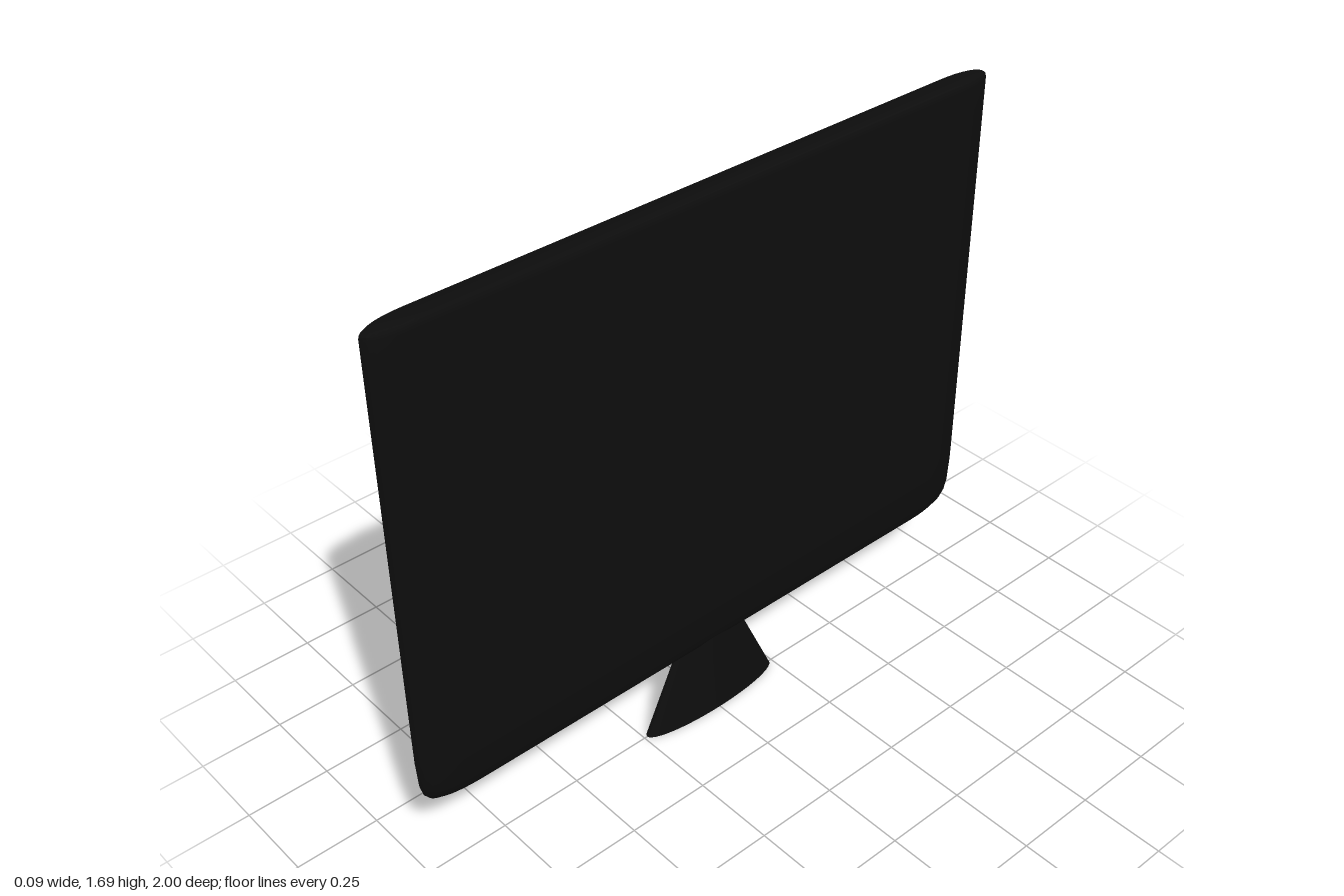
import * as THREE from 'three';
import { toCreasedNormals } from 'three/addons/utils/BufferGeometryUtils.js';

const black = new THREE.MeshStandardMaterial({ color: 0x0d0d0d });
const violet = new THREE.MeshStandardMaterial({ color: 0x1a0a3c });

// Rounded slab lofted upwards from rows of [y, half width in z, half thickness in x]
function slabGeometry(rows, endLength, steps) {
  const pos = [], index = [];
  const ringSize = 2 * (steps + 1);
  for (const [y, w, t] of rows) {
    for (let end = 0; end < 2; end++) {
      const sign = end ? -1 : 1;
      for (let i = 0; i <= steps; i++) {
        const a = (i / steps) * Math.PI;
        pos.push(sign * t * Math.cos(a), y, sign * (w - endLength + endLength * Math.sin(a)));
      }
    }
  }
  for (let r = 0; r < rows.length - 1; r++) {
    for (let i = 0; i < ringSize; i++) {
      const a = r * ringSize + i, b = r * ringSize + (i + 1) % ringSize;
      const c = a + ringSize, d = b + ringSize;
      index.push(a, c, b, b, c, d);
    }
  }
  // flat caps
  const top = (rows.length - 1) * ringSize;
  for (let i = 1; i < ringSize - 1; i++) {
    index.push(0, i, i + 1);
    index.push(top, top + i + 1, top + i);
  }
  const g = new THREE.BufferGeometry();
  g.setAttribute('position', new THREE.Float32BufferAttribute(pos, 3));
  // ring runs from +x through +z to -x, so flip every triangle to face outwards
  for (let i = 0; i < index.length; i += 3) {
    [index[i + 1], index[i + 2]] = [index[i + 2], index[i + 1]];
  }
  g.setIndex(index);
  return g;
}

// Makes sure a closed shape faces outwards, whichever way it was wound
function faceOutwards(g) {
  const p = g.attributes.position, idx = g.index.array;
  const [a, b, c] = [0, 1, 2].map(() => new THREE.Vector3());
  let volume = 0;
  for (let i = 0; i < idx.length; i += 3) {
    a.fromBufferAttribute(p, idx[i]);
    b.fromBufferAttribute(p, idx[i + 1]);
    c.fromBufferAttribute(p, idx[i + 2]);
    volume += a.dot(b.cross(c));
  }
  if (volume < 0) idx.reverse();
  return g;
}

function addMesh(group, name, geometry, material) {
  const mesh = new THREE.Mesh(geometry, material);
  mesh.name = name;
  group.add(mesh);
  return mesh;
}

export function createModel() {
  const group = new THREE.Group();
  group.name = 'monitor';

  // housing: rounded ends, tapered lower edge, tight upper edge
  const rows = [
    [0.245, 0.9, 0.018], [0.25, 0.94, 0.022], [0.263, 0.97, 0.026], [0.285, 0.987, 0.03],
    [0.32, 0.996, 0.033], [0.4, 1, 0.036], [0.45, 1, 0.037], [1.6, 1, 0.037],
    [1.67, 1, 0.037], [1.68, 0.997, 0.036], [1.687, 0.985, 0.033], [1.69, 0.96, 0.028],
  ];
  const slab = faceOutwards(slabGeometry(rows, 0.12, 14));
  addMesh(group, 'housing', toCreasedNormals(slab, 0.6), black);

  // display area, on the -x face
  const screen = addMesh(group, 'screen', new THREE.BoxGeometry(0.004, 1.16, 1.52), violet);
  screen.position.set(-0.0365, 0.993, 0);

  // flared elliptical foot
  const foot = new THREE.CylinderGeometry(0.425, 1, 0.3, 48);
  foot.scale(0.047, 1, 0.24);
  foot.translate(0, 0.15, 0);
  addMesh(group, 'stand', foot, black);

  return group;
}
